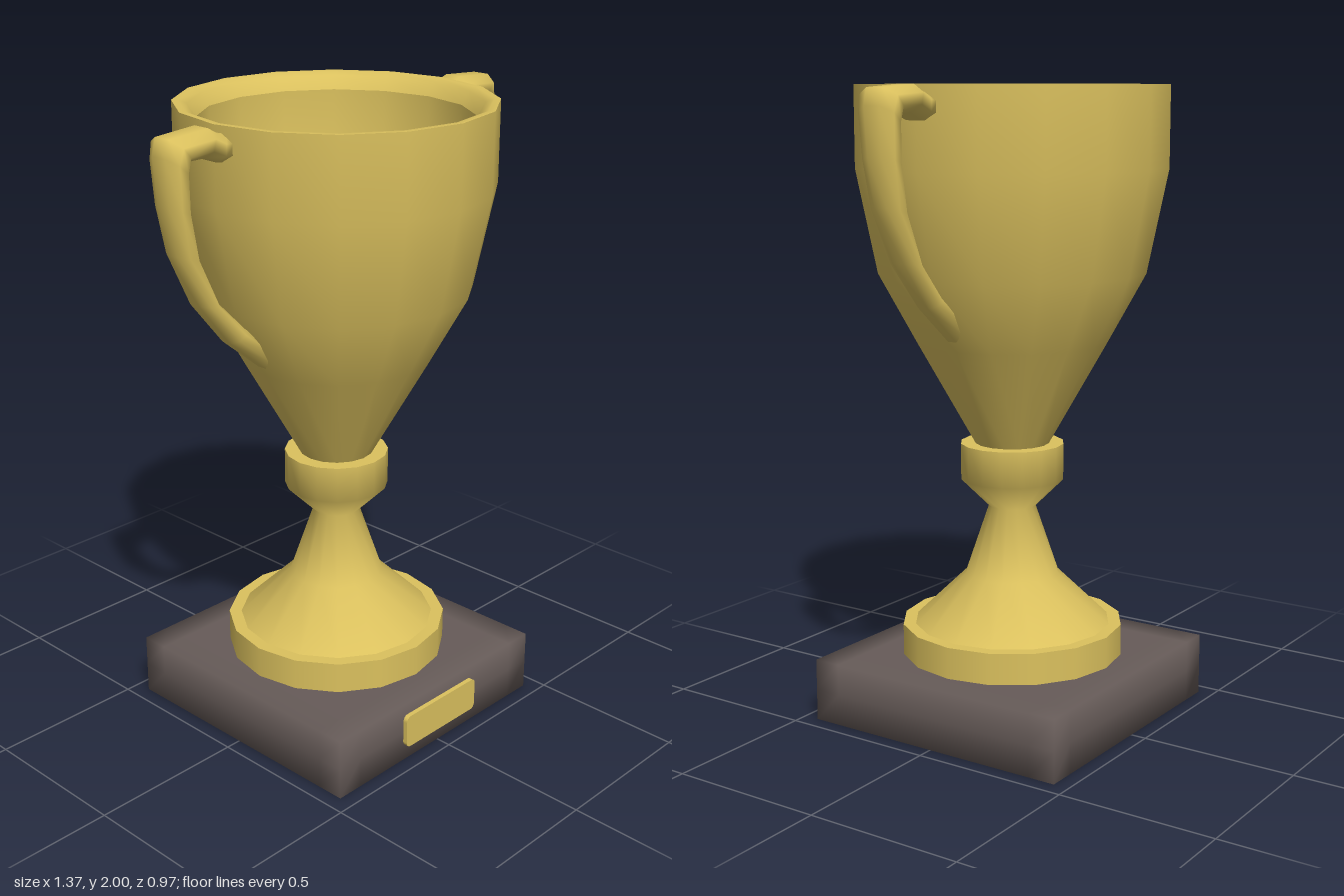
import * as THREE from 'three';
import { mergeVertices } from 'three/addons/utils/BufferGeometryUtils.js';

const SIDES = 16;

// Round part turned from a profile of [radius, y] points, listed so the surface faces outwards
function turned(name, profile, material) {
  const points = profile.map(([r, y]) => new THREE.Vector2(r, y));
  const mesh = new THREE.Mesh(new THREE.LatheGeometry(points, SIDES), material);
  mesh.name = name;
  return mesh;
}

// Band swept through rings of [outerX, outerY, innerX, innerY, halfWidth]
function handleGeometry(rings) {
  const n = 8, flat = 0.75;
  const positions = [], index = [];
  for (const [ox, oy, ix, iy, w] of rings) {
    for (let j = 0; j < n; j++) {
      // Octagonal cross-section squared off towards a rectangle
      const a = ((j + 0.5) / n) * Math.PI * 2;
      const round = (v) => Math.sign(v) * Math.min(1, Math.abs(v) / (flat + 0.17));
      const u = round(Math.cos(a)), v = round(Math.sin(a));
      positions.push((ox + ix) / 2 + u * (ox - ix) / 2, (oy + iy) / 2 + u * (oy - iy) / 2, v * w);
    }
  }
  const last = (rings.length - 1) * n;
  for (let i = 0; i < last; i += n) {
    for (let j = 0; j < n; j++) {
      const k = (j + 1) % n;
      index.push(i + j, i + k, i + n + j, i + k, i + n + k, i + n + j);
    }
  }
  // End caps
  for (let j = 1; j < n - 1; j++) {
    index.push(0, j + 1, j, last, last + j, last + j + 1);
  }
  const geometry = new THREE.BufferGeometry();
  geometry.setAttribute('position', new THREE.Float32BufferAttribute(positions, 3));
  geometry.setIndex(index);
  geometry.computeVertexNormals();
  return geometry;
}

export function createModel() {
  const model = new THREE.Group();
  model.name = 'trophy';
  const gold = new THREE.MeshStandardMaterial({ name: 'gold', color: 0xdbc15e });
  const darkWood = new THREE.MeshStandardMaterial({ name: 'dark wood', color: 0x665b58 });

  // Square plinth with softly shaded edges
  let box = new THREE.BoxGeometry(0.9, 0.2, 0.9, 10, 2, 10);
  box.deleteAttribute('normal');
  box.deleteAttribute('uv');
  box = mergeVertices(box);
  box.computeVertexNormals();
  const plinth = new THREE.Mesh(box, darkWood);
  plinth.name = 'plinth';
  plinth.position.y = 0.1;
  model.add(plinth);

  // Blank plaque with rounded corners on the front of the plinth
  const w = 0.165, h = 0.055, r = 0.018;
  const outline = new THREE.Shape();
  outline.absarc(w - r, h - r, r, 0, Math.PI / 2);
  outline.absarc(-w + r, h - r, r, Math.PI / 2, Math.PI);
  outline.absarc(-w + r, -h + r, r, Math.PI, Math.PI * 1.5);
  outline.absarc(w - r, -h + r, r, Math.PI * 1.5, Math.PI * 2);
  const plaque = new THREE.Mesh(
    new THREE.ExtrudeGeometry(outline, { depth: 0.02, bevelEnabled: false, curveSegments: 3 }), gold);
  plaque.name = 'plaque';
  plaque.position.set(0, 0.105, 0.445);
  model.add(plaque);

  // Foot and stem
  model.add(
    turned('footRim', [[0.355, 0.2], [0.355, 0.3]], gold),
    turned('footTop', [[0.355, 0.3], [0.31, 0.3]], gold),
    turned('stem', [[0.315, 0.3], [0.15, 0.46], [0.075, 0.68], [0.165, 0.77], [0.165, 0.885]], gold),
    turned('collarTop', [[0.165, 0.885], [0.1, 0.885]], gold),
  );

  // Cup wall, rim and hollow
  model.add(
    turned('cupWall', [[0.115, 0.88], [0.3, 1.21], [0.42, 1.43], [0.485, 1.75], [0.485, 2]], gold),
    turned('cupRim', [[0.485, 2], [0.465, 2], [0.44, 1.99], [0.415, 1.95]], gold),
    turned('cupHollow', [[0.415, 1.95], [0.415, 1.75], [0.36, 1.45], [0.25, 1.23], [0.1, 1.0], [0, 0.96]], gold),
  );

  // Matching handles, one turned half way round
  const shape = handleGeometry([
    [0.46, 1.975, 0.46, 1.895, 0.06],
    [0.495, 1.98, 0.5, 1.9, 0.065],
    [0.53, 2.0, 0.55, 1.92, 0.067],
    [0.67, 1.99, 0.61, 1.92, 0.068],
    [0.685, 1.94, 0.613, 1.88, 0.063],
    [0.675, 1.8, 0.608, 1.78, 0.058],
    [0.65, 1.66, 0.575, 1.64, 0.052],
    [0.575, 1.5, 0.5, 1.49, 0.046],
    [0.46, 1.36, 0.4, 1.39, 0.041],
    [0.32, 1.245, 0.325, 1.335, 0.037],
  ]);
  ['leftHandle', 'rightHandle'].forEach((name, i) => {
    const handle = new THREE.Mesh(shape, gold);
    handle.name = name;
    handle.rotation.y = i * Math.PI;
    model.add(handle);
  });
  return model;
}
